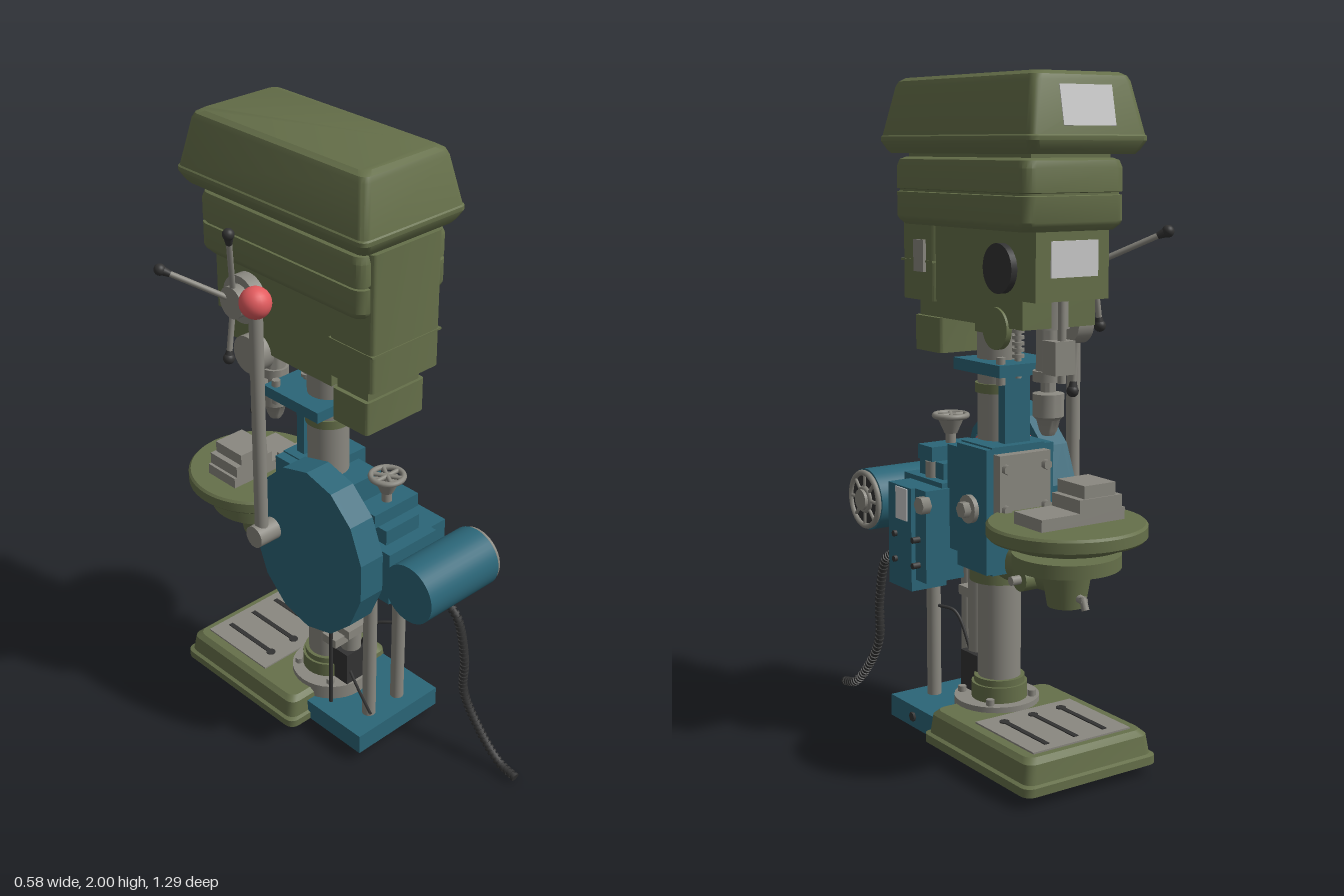
import * as THREE from 'three';
import { toCreasedNormals } from 'three/addons/utils/BufferGeometryUtils.js';

const mat = (color) => new THREE.MeshStandardMaterial({ color, side: THREE.DoubleSide });
const V = (x, y, z) => new THREE.Vector3(x, y, z);
const CX = 0.053, COLZ = -0.074, TABZ = -0.416, SPZ = -0.318;

// Loft of rounded rectangles; each ring is [y, x0, x1, z0, z1, cornerRadius]
function loft(rings) {
  const pos = [], idx = [], K = 5, N = K * 4;
  const corners = [[1, 1], [-1, 1], [-1, -1], [1, -1]];
  for (const [y, x0, x1, z0, z1, r] of rings) {
    corners.forEach(([sx, sz], c) => {
      for (let k = 0; k < K; k++) {
        const a = (c + k / (K - 1)) * Math.PI / 2;
        pos.push((sx > 0 ? x1 - r : x0 + r) + r * Math.cos(a), y, (sz > 0 ? z1 - r : z0 + r) + r * Math.sin(a));
      }
    });
  }
  for (let j = 0; j < rings.length - 1; j++) for (let i = 0; i < N; i++) {
    const a = j * N + i, b = j * N + (i + 1) % N;
    idx.push(a, a + N, b, b, a + N, b + N);
  }
  const top = (rings.length - 1) * N;
  for (let i = 1; i < N - 1; i++) idx.push(0, i, i + 1, top, top + i + 1, top + i);
  const g = new THREE.BufferGeometry();
  g.setAttribute('position', new THREE.Float32BufferAttribute(pos, 3));
  g.setIndex(idx);
  return toCreasedNormals(g, 0.5);
}

export function createModel() {
  const model = new THREE.Group();
  model.name = 'drillPress';
  const green = mat(0x66704a), teal = mat(0x2b6678), red = mat(0xe25b5e), black = mat(0x333333), steel = mat(0x8a8880), plate = mat(0xcccccc);
  const add = (name, geo, m) => {
    const mesh = new THREE.Mesh(geo, m);
    mesh.name = name;
    model.add(mesh);
    return mesh;
  };
  const box = (name, m, x0, x1, y0, y1, z0, z1) => {
    const b = add(name, new THREE.BoxGeometry(x1 - x0, y1 - y0, z1 - z0), m);
    b.position.set((x0 + x1) / 2, (y0 + y1) / 2, (z0 + z1) / 2);
    return b;
  };
  const cyl = (name, m, a, b, r0, r1 = r0, n = 32) => {
    const d = b.clone().sub(a);
    const c = add(name, new THREE.CylinderGeometry(r1, r0, d.length(), n), m);
    c.position.copy(a).addScaledVector(d, 0.5);
    c.quaternion.setFromUnitVectors(V(0, 1, 0), d.normalize());
    return c;
  };
  const post = (name, m, x, z, y0, y1, r0, r1 = r0, n = 32) => cyl(name, m, V(x, y0, z), V(x, y1, z), r0, r1, n);
  const axle = (name, m, x0, x1, y, z, r, n = 32) => cyl(name, m, V(x0, y, z), V(x1, y, z), r, r, n);
  const ball = (name, m, p, r) => add(name, new THREE.SphereGeometry(r, 24, 16), m).position.copy(p);
  const tube = (name, m, pts, r, n = 60) => add(name, new THREE.TubeGeometry(new THREE.CatmullRomCurve3(pts.map((p) => V(...p))), n, r, 8), m);

  // Base: cast foot, worktop with slots, motor plate
  add('base', loft([
    [0.035, -0.183, 0.286, -0.545, 0.0, 0.03], [0.06, -0.183, 0.286, -0.545, 0.0, 0.03],
    [0.065, -0.172, 0.275, -0.535, -0.01, 0.03], [0.12, -0.165, 0.268, -0.527, -0.015, 0.03],
    [0.135, -0.15, 0.255, -0.51, -0.03, 0.03]]), green);
  box('baseWorktop', steel, -0.12, 0.225, 0.13, 0.14, -0.49, -0.2);
  for (const x of [-0.05, 0.053, 0.156]) {
    box('baseSlot', black, x - 0.008, x + 0.008, 0.138, 0.143, -0.46, -0.25);
    post('slotEnd', black, x, -0.25, 0.138, 0.143, 0.015);
  }
  box('motorBase', teal, -0.1, 0.254, 0.035, 0.103, -0.06, 0.233);
  axle('motorBaseScrew', black, 0.24, 0.262, 0.07, 0.1, 0.015, 6);
  post('columnFlange', steel, CX, -0.06, 0.1, 0.152, 0.13);
  for (let i = 0; i < 4; i++) {
    const a = Math.PI * (0.25 + i / 2);
    post('flangeBolt', steel, CX + 0.108 * Math.cos(a), -0.06 + 0.108 * Math.sin(a), 0.15, 0.17, 0.013, 0.013, 6);
  }

  // Column with collars
  post('column', steel, CX, COLZ, 0.1, 1.36, 0.065);
  post('columnFoot', green, CX, COLZ, 0.15, 0.2, 0.085);
  post('columnFootCollar', green, CX, COLZ, 0.2, 0.22, 0.077);
  post('columnCollar', green, CX, COLZ, 1.09, 1.118, 0.072);
  post('headCollar', green, CX, COLZ, 1.27, 1.4, 0.072);
  box('controlBox', black, 0.01, 0.105, 0.15, 0.27, -0.03, 0.06);
  post('liftTube', steel, 0.06, 0.025, 0.15, 0.7, 0.034);
  for (const x of [0.008, 0.137]) post('guideRod', steel, x, 0.165, 0.1, 0.85, 0.022);

  // Top bracket on the column
  box('topBracket', teal, -0.07, 0.16, 1.155, 1.19, -0.23, 0.01);
  box('bracketBar', teal, 0.01, 0.1, 0.9, 1.16, -0.17, -0.138);
  for (const x of [-0.045, 0.135]) post('bracketBolt', steel, x, -0.2, 1.13, 1.21, 0.014, 0.014, 6);

  // Column clamp
  box('columnClamp', teal, -0.02, 0.165, 0.57, 0.95, -0.2, -0.04);
  box('clampCheek', teal, -0.053, 0.185, 0.575, 0.945, -0.2, -0.045);
  box('clampRear', teal, -0.02, 0.15, 0.6, 0.92, -0.04, 0.06);
  box('clampFace', steel, -0.02, 0.16, 0.73, 0.93, -0.232, -0.2);
  axle('clampBoss', steel, 0.18, 0.2, 0.76, -0.12, 0.042, 24);
  axle('clampNut', steel, 0.2, 0.222, 0.76, -0.12, 0.025, 6);
  for (const x of [0, 0.14]) for (const y of [0.77, 0.89])
    cyl('clampBolt', steel, V(x, y, -0.22), V(x, y, -0.248), 0.015, 0.015, 6);

  // Gear housing, slide and adjusting handwheel
  box('gearHousing', teal, 0.125, 0.25, 0.465, 0.785, 0.11, 0.243);
  box('gearHousingRear', teal, 0.1, 0.235, 0.5, 0.785, 0.05, 0.11);
  box('ratingPlate', plate, 0.25, 0.254, 0.68, 0.78, 0.13, 0.195);
  for (const y of [0.55, 0.63]) for (const z of [0.09, 0.2]) axle('housingScrew', black, 0.23, 0.26, y, z, 0.01, 8);
  axle('housingBoss', steel, 0.23, 0.26, 0.745, 0.05, 0.028, 6);
  box('motorSlide', teal, -0.03, 0.17, 0.62, 0.8, 0.06, 0.28);
  box('slideBlock', teal, 0.0, 0.14, 0.8, 0.85, 0.1, 0.235);
  box('slideCap', teal, -0.02, 0.165, 0.855, 0.9, 0.125, 0.205);
  post('adjustScrew', steel, 0.07, 0.165, 0.85, 0.985, 0.016);
  post('handwheelHub', steel, 0.07, 0.165, 0.93, 0.975, 0.02, 0.04);
  const rim = add('handwheel', new THREE.TorusGeometry(0.05, 0.009, 10, 32), steel);
  rim.rotation.x = Math.PI / 2;
  rim.position.set(0.07, 0.985, 0.165);
  for (let i = 0; i < 3; i++) {
    const a = i * Math.PI / 3, c = 0.05 * Math.cos(a), s = 0.05 * Math.sin(a);
    cyl('handwheelSpoke', steel, V(0.07 - c, 0.985, 0.165 - s), V(0.07 + c, 0.985, 0.165 + s), 0.007);
  }

  // Motor with fan grille
  axle('motor', teal, -0.037, 0.257, 0.707, 0.365, 0.097, 40);
  axle('motorEnd', black, 0.255, 0.262, 0.707, 0.365, 0.085, 40);
  for (const r of [0.085, 0.035]) {
    const ring = add('fanRing', new THREE.TorusGeometry(r, 0.009, 8, 36), steel);
    ring.rotation.y = Math.PI / 2;
    ring.position.set(0.264, 0.707, 0.365);
  }
  for (let i = 0; i < 8; i++) {
    const a = i * Math.PI / 4;
    cyl('fanSpoke', steel, V(0.264, 0.707, 0.365), V(0.264, 0.707 + 0.085 * Math.sin(a), 0.365 + 0.085 * Math.cos(a)), 0.006, 0.006, 8);
  }
  axle('fanHub', steel, 0.255, 0.282, 0.707, 0.365, 0.033);

  // Pulley guard: many-sided shell, open inward, with a red pulley
  const outline = (s) => Array.from({ length: 14 }, (_, i) => {
    const a = i * Math.PI / 7 + Math.PI / 2;
    return new THREE.Vector2(0.24 * s * Math.cos(a), 0.283 * s * Math.sin(a));
  });
  const slab = (name, m, s, hole, x0, x1) => {
    const shape = new THREE.Shape(outline(s));
    if (hole) shape.holes.push(new THREE.Path(outline(hole)));
    const g = add(name, new THREE.ExtrudeGeometry(shape, { depth: x1 - x0, bevelEnabled: false }), m);
    g.rotation.y = -Math.PI / 2;
    g.position.set(x1, 0.747, 0.04);
  };
  slab('guardFace', teal, 1, 0, -0.143, -0.125);
  slab('guardRim', teal, 1, 0.9, -0.125, -0.053);
  slab('pulley', red, 0.85, 0, -0.12, -0.045);
  slab('pulleyHub', red, 0.6, 0, -0.045, -0.022);

  // Tall hand lever
  axle('leverHub', steel, -0.222, -0.14, 0.76, -0.115, 0.036);
  post('leverRod', steel, -0.19, -0.115, 0.76, 1.52, 0.021);
  ball('leverKnob', red, V(-0.19, 1.545, -0.115), 0.048);
  post('linkRod', black, -0.1, 0.1, 0.17, 0.5, 0.006, 0.006, 8);
  box('linkBlock', steel, -0.1, -0.045, 0.395, 0.425, 0.06, 0.12);
  box('linkArm', steel, -0.06, 0.06, 0.42, 0.45, 0.02, 0.14);

  // Round table, its support and the vice
  const disc = [[0, 0.7], [0.17, 0.7], [0.19, 0.718], [0.222, 0.72], [0.229, 0.727], [0.229, 0.758], [0.222, 0.765], [0, 0.765]];
  add('table', toCreasedNormals(new THREE.LatheGeometry(disc.map((p) => new THREE.Vector2(...p)), 56), 0.6), green).position.set(0.058, 0, TABZ);
  post('tableNeck', green, 0.058, TABZ, 0.66, 0.71, 0.08);
  post('tableCarrier', green, 0.058, TABZ, 0.635, 0.675, 0.156, 0.156, 48);
  post('tableHub', green, 0.058, TABZ, 0.52, 0.64, 0.055, 0.075);
  cyl('tableArm', green, V(CX, 0.6, COLZ), V(CX, 0.6, TABZ), 0.075, 0.055);
  post('tableCollar', green, CX, COLZ, 0.52, 0.66, 0.09);
  axle('armClamp', green, -0.03, 0.14, 0.58, -0.3, 0.035);
  axle('armClampBolt', steel, -0.06, 0.17, 0.58, -0.3, 0.014, 8);
  cyl('tableHandle', steel, V(0.058, 0.56, TABZ), V(0.058, 0.55, -0.5), 0.012);
  cyl('tableHandleTip', steel, V(0.058, 0.56, -0.49), V(0.058, 0.525, -0.505), 0.011);
  box('viceBase', steel, -0.09, 0.2, 0.765, 0.8, -0.49, -0.36);
  box('viceBed', steel, -0.08, 0.07, 0.8, 0.838, -0.49, -0.36);
  box('viceJaw', steel, -0.06, 0.05, 0.838, 0.875, -0.485, -0.36);

  // Head casting and rear motor casing
  box('headBody', green, -0.07, 0.18, 1.385, 1.6, -0.43, 0.1);
  box('headLower', green, -0.07, 0.18, 1.305, 1.39, -0.37, 0.07);
  add('rearCasing', loft([[1.35, -0.08, 0.19, 0.07, 0.244, 0.015], [1.77, -0.08, 0.19, 0.07, 0.244, 0.015]]), green);
  box('rearSeam', green, -0.083, 0.193, 1.463, 1.469, 0.07, 0.247);
  box('rearNeck', green, -0.05, 0.155, 1.29, 1.36, 0.075, 0.2);
  add('rearBox', loft([[1.195, -0.064, 0.17, 0.065, 0.21, 0.012], [1.3, -0.064, 0.17, 0.065, 0.21, 0.012]]), green);
  box('switch', steel, 0.185, 0.2, 1.435, 1.53, 0.11, 0.165);
  box('headPlate', plate, -0.03, 0.13, 1.45, 1.55, -0.434, -0.43);

  // Belt housing in two halves, and its cover
  const H = (y, d) => [y, -0.117 + d, 0.228 - d, -0.45 + d, 0.233 - d, 0.035];
  add('beltHousing', loft([H(1.575, 0.018), H(1.59, 0.004), H(1.6, 0), H(1.67, 0), H(1.672, 0.006), H(1.678, 0.006), H(1.68, 0), H(1.745, 0), H(1.765, 0.006), H(1.772, 0.02)]), green);
  box('housingNeck', green, -0.08, 0.19, 1.76, 1.8, -0.42, 0.2);
  const C = (y, d) => [y, -0.144 + d, 0.256 - d, -0.514 + d, 0.27 - d, 0.025];
  add('topCover', loft([C(1.782, 0.022), C(1.795, 0.012), C(1.818, 0), C(1.83, 0), C(1.834, 0.004), C(1.975, 0.033), C(1.99, 0.04), C(2, 0.056)]), green);
  const label = box('coverPlate', plate, -0.03, 0.145, -0.055, 0.055, -0.003, 0.003);
  label.position.set(0.058, 1.91, -0.4935);
  label.rotation.x = 0.2;

  // Side knob, cap, feed hubs and spoked handles
  axle('speedKnob', black, 0.18, 0.2, 1.47, -0.275, 0.07);
  axle('sideCap', green, 0.17, 0.188, 1.3, -0.245, 0.06);
  axle('feedHub', steel, -0.11, -0.06, 1.47, -0.28, 0.075);
  axle('feedHubCap', steel, -0.145, -0.11, 1.47, -0.28, 0.05);
  axle('depthHub', steel, -0.115, -0.06, 1.3, -0.25, 0.06);
  const handle = (name, a, b) => {
    cyl(name, steel, a, b, 0.009, 0.009, 12);
    cyl(name + 'Grip', black, a.clone().lerp(b, 0.86), b, 0.01, 0.016, 12);
    ball(name + 'Knob', black, b, 0.018);
  };
  for (const [x, y, z] of [[-0.275, 1.565, -0.44], [-0.185, 1.715, -0.23], [-0.155, 1.29, -0.285]])
    handle('feedHandle', V(-0.125, 1.47, -0.29), V(x, y, z));
  handle('depthHandle', V(-0.1, 1.3, -0.25), V(-0.085, 1.1, -0.25));

  // Spindle, chuck and depth stop
  const spindle = [[0, 1.4], [0.06, 1.4], [0.06, 1.3], [0.036, 1.3], [0.036, 1.18], [0.045, 1.18], [0.045, 1.15], [0.022, 1.15], [0.022, 1.12], [0.045, 1.115], [0.045, 1.05], [0.034, 1.04], [0.026, 1.01], [0.018, 0.995], [0, 0.995]];
  add('spindle', toCreasedNormals(new THREE.LatheGeometry(spindle.map((p) => new THREE.Vector2(...p)), 32), 0.6), steel).position.set(CX, 0, SPZ);
  box('stopBracket', steel, 0.02, 0.09, 1.175, 1.27, -0.4, -0.34);
  post('stopRod', steel, CX, -0.38, 1.15, 1.4, 0.012);
  for (let i = 0; i < 6; i++) post('springCoil', steel, CX, -0.17, 1.2 + i * 0.018, 1.21 + i * 0.018, 0.018, 0.018, 16);
  post('springRod', steel, CX, -0.17, 1.14, 1.32, 0.01);

  // Ribbed power cable and thin wires
  const path = [[0.195, 0.54, 0.3], [0.195, 0.5, 0.36], [0.195, 0.36, 0.4], [0.195, 0.23, 0.405], [0.195, 0.115, 0.48], [0.195, 0.035, 0.57], [0.195, 0.018, 0.635]];
  tube('cable', black, path, 0.011, 80);
  const curve = new THREE.CatmullRomCurve3(path.map((p) => V(...p)));
  for (let i = 0; i <= 44; i++) {
    const p = curve.getPointAt(i / 44), t = curve.getTangentAt(i / 44);
    cyl('cableRib', black, p.clone().addScaledVector(t, -0.004), p.clone().addScaledVector(t, 0.004), 0.015, 0.015, 12);
  }
  cyl('cableGland', steel, V(0.195, 0.54, 0.24), V(0.195, 0.54, 0.3), 0.018);
  tube('controlWire', black, [[0.03, 0.2, 0.05], [0.0, 0.18, 0.12], [-0.05, 0.17, 0.23]], 0.005, 24);
  tube('housingWire', black, [[0.15, 0.47, 0.2], [0.14, 0.4, 0.16], [0.1, 0.38, 0.1], [0.08, 0.26, 0.04]], 0.005, 30);
  return model;
}
